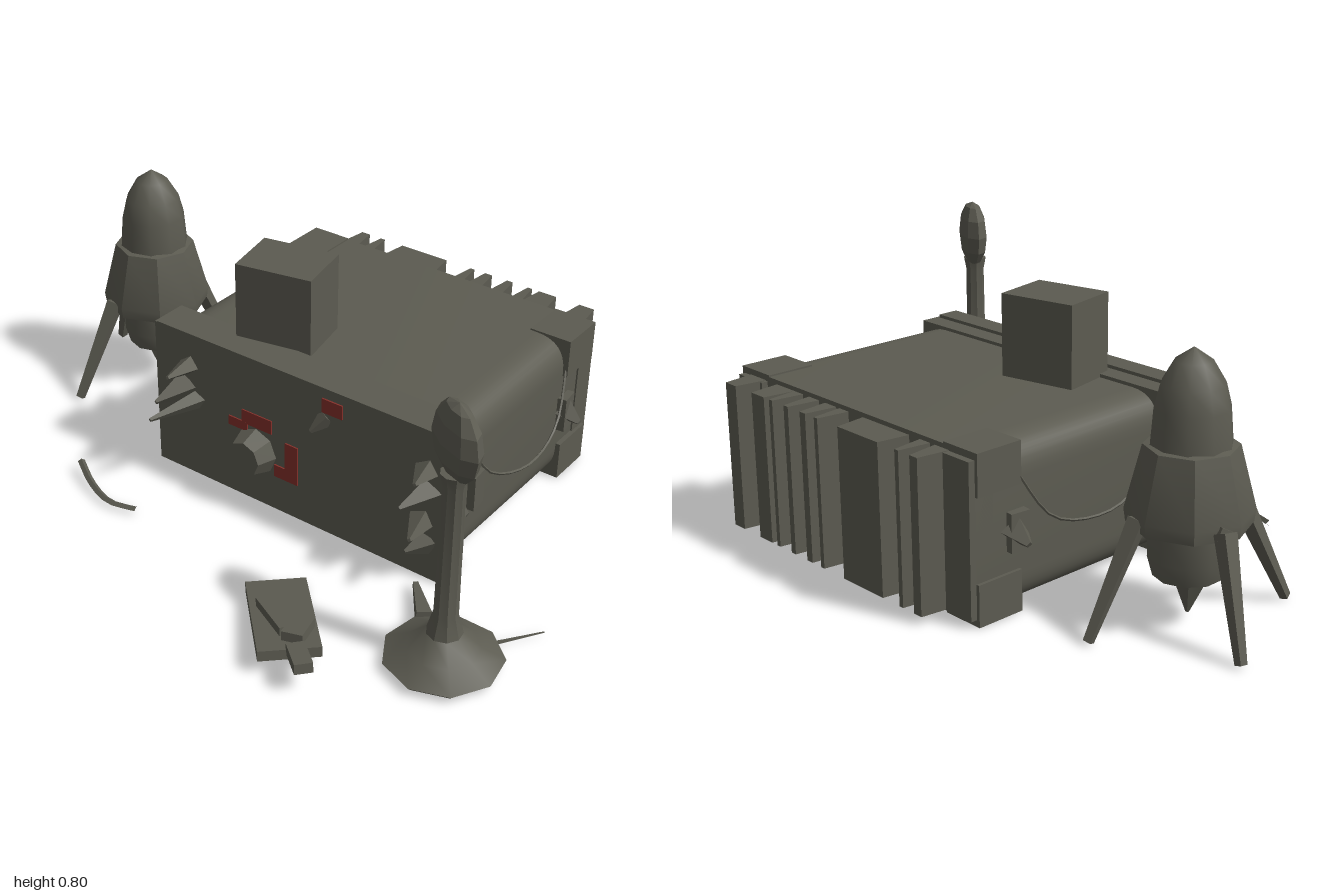
import * as THREE from 'three';
import { toCreasedNormals } from 'three/addons/utils/BufferGeometryUtils.js';

export function createModel() {
  const root = new THREE.Group();
  const grey = new THREE.MeshStandardMaterial({ color: 0x5c5b51 });
  grey.name = 'drab metal';
  const red = new THREE.MeshStandardMaterial({ color: 0x84302a });
  red.name = 'faded red';
  const V = (x, y, z) => new THREE.Vector3(x, y, z);

  function add(name, geo, x = 0, y = 0, z = 0, mat = grey, crease = 0.6) {
    const m = new THREE.Mesh(toCreasedNormals(geo, crease), mat);
    m.name = name;
    m.position.set(x, y, z);
    root.add(m);
    return m;
  }
  // Box given by its limits
  function block(name, x0, x1, y0, y1, z0, z1, mat = grey) {
    return add(name, new THREE.BoxGeometry(x1 - x0, y1 - y0, z1 - z0),
      (x0 + x1) / 2, (y0 + y1) / 2, (z0 + z1) / 2, mat);
  }
  // Tapered bar from point a to point b; r1 = 0 makes a shard
  function bar(name, a, b, r0, r1, sides = 4) {
    const d = b.clone().sub(a);
    const m = add(name, new THREE.CylinderGeometry(r1, r0, d.length(), sides));
    m.position.copy(a).addScaledVector(d, 0.5);
    m.quaternion.setFromUnitVectors(V(0, 1, 0), d.normalize());
    return m;
  }
  const lathe = (name, pts, sides, x, z, crease) =>
    add(name, new THREE.LatheGeometry(pts.map(p => new THREE.Vector2(...p)), sides), x, 0, z, grey, crease);

  // Rounded main housing
  const [x0, x1, y0, y1, r] = [-0.37, 0.64, 0.015, 0.485, 0.1];
  const s = new THREE.Shape();
  s.moveTo(x0 + r, y0);
  s.lineTo(x1 - r, y0);
  s.quadraticCurveTo(x1, y0, x1, y0 + r);
  s.lineTo(x1, y1 - r);
  s.quadraticCurveTo(x1, y1, x1 - r, y1);
  s.lineTo(x0 + r, y1);
  s.quadraticCurveTo(x0, y1, x0, y1 - r);
  s.lineTo(x0, y0 + r);
  s.quadraticCurveTo(x0, y0, x0 + r, y0);
  add('housing', new THREE.ExtrudeGeometry(s, { depth: 0.68, bevelEnabled: false, curveSegments: 8 }), 0, 0, -0.66);

  // Front panel, slightly proud of the housing
  block('frontPanel', -0.38, 0.65, 0.01, 0.495, 0.02, 0.14);
  block('panelLip', -0.36, 0.64, 0.475, 0.505, 0.08, 0.15);

  // Rear corner posts, tapering to the back
  for (const [xa, xb] of [[-0.38, -0.25], [0.52, 0.655]]) {
    for (const [ya, yb] of [[0.01, 0.13], [0.37, 0.49]]) {
      block('rearCorner', xa, xb, ya, yb, -0.66, -0.51);
    }
    block('rearPost', xa + 0.01, xb - 0.01, 0.03, 0.47, -0.68, -0.6);
  }

  // Cooling fins
  const fins = [[-0.26, -0.23], [-0.185, -0.17], [-0.1, 0.07], [0.16, 0.175],
    [0.215, 0.24], [0.295, 0.315], [0.37, 0.385], [0.41, 0.47], [0.55, 0.6]];
  for (const [a, b] of fins) {
    const g = new THREE.BoxGeometry(b - a, 0.44, 0.13);
    const p = g.attributes.position;
    for (let i = 0; i < p.count; i++) { // wider at the root
      if (p.getZ(i) > 0) p.setX(i, p.getX(i) + Math.sign(p.getX(i)) * 0.018);
    }
    g.computeVertexNormals();
    add('coolingFin', g, (a + b) / 2, 0.252, -0.69);
  }

  // Box on the roof
  block('roofBox', -0.155, 0.085, 0.47, 0.73, -0.148, 0.038).rotation.y = 0.2;

  // Side brackets and the wires slung between them
  for (const side of [-1, 1]) {
    const X = d => 0.135 + side * (0.505 + d);
    for (const z of [-0.02, -0.525]) {
      const m = add('sideBracket', new THREE.BoxGeometry(0.03, 0.11, 0.06), X(0.01), 0.245, z);
      m.rotation.y = side * 0.1;
    }
    bar('bracketTip', V(X(0), 0.25, -0.53), V(X(0.06), 0.22, -0.53), 0.045, 0.01);
    bar('bracketTip', V(X(0), 0.25, 0.08), V(X(0.05), 0.23, 0.08), 0.04, 0.01);
    const path = new THREE.CatmullRomCurve3([V(X(0), 0.39, 0), V(X(0.03), 0.28, -0.07),
      V(X(0.06), 0.23, -0.23), V(X(0.04), 0.26, -0.42), V(X(0), 0.42, -0.53)]);
    add('sideWire', new THREE.TubeGeometry(path, 16, 0.004, 4));
  }

  // Front knob
  const knob = add('knob', new THREE.CylinderGeometry(0.055, 0.078, 0.07, 8), 0, 0.19, 0.165);
  knob.rotation.x = Math.PI / 2;

  // Painted red marks
  const marks = [[-0.05, 0.06, 0.27, 0.315], [-0.1, -0.03, 0.245, 0.275],
    [0.11, 0.155, 0.13, 0.26], [0.07, 0.12, 0.13, 0.17], [0.24, 0.31, 0.42, 0.465]];
  marks.forEach(([a, b, c, d], i) => block('redMark', a, b, c, d, 0.138, 0.144 + i * 0.0003, red));

  // Broken clamps on the front
  const shards = [
    [-0.27, 0.31, -0.3, 0.29, 0.24, 0.05], [-0.25, 0.39, -0.23, 0.41, 0.26, 0.035],
    [-0.22, 0.28, -0.27, 0.27, 0.3, 0.03], [0.59, 0.37, 0.61, 0.38, 0.23, 0.04],
    [0.6, 0.3, 0.57, 0.29, 0.24, 0.045], [0.58, 0.2, 0.62, 0.22, 0.26, 0.04],
    [0.6, 0.13, 0.57, 0.12, 0.2, 0.04], [0.25, 0.4, 0.22, 0.36, 0.17, 0.03],
  ];
  for (const [ax, ay, bx, by, bz, w] of shards) bar('frontShard', V(ax, ay, 0.13), V(bx, by, bz), w, 0.006);

  // Rocket-shaped pod with flared skirt
  const px = -0.72, pz = -0.24;
  lathe('podBody', [[0, 0.14], [0.095, 0.145], [0.11, 0.2], [0.11, 0.3], [0.108, 0.5], [0.1, 0.6],
    [0.085, 0.66], [0.05, 0.72], [0, 0.755]], 10, px, pz, 0.8);
  lathe('podSkirt', [[0.1, 0.29], [0.165, 0.29], [0.17, 0.325], [0.125, 0.5], [0.1, 0.505]], 8, px, pz, 0.5);
  bar('podNozzle', V(px - 0.01, 0.17, pz), V(px, 0.035, pz), 0.06, 0.005, 5);
  const legs = [[-0.88, -0.29, -0.985, -0.34], [-0.775, -0.1, -0.815, 0.05], [-0.67, -0.38, -0.635, -0.52]];
  for (const [ax, az, bx, bz] of legs) {
    bar('podLeg', V(ax, 0.32, az), V(bx, 0.015, bz), 0.03, 0.016);
    bar('legBrace', V(px, 0.3, pz), V(ax, 0.31, az), 0.025, 0.025);
  }

  // Standing lamp
  lathe('lampStand', [[0, 0.012], [0.15, 0.015], [0.165, 0.03], [0.1, 0.065], [0.05, 0.11],
    [0.034, 0.17], [0.03, 0.57], [0.038, 0.61], [0, 0.61]], 9, 0.83, 0.4, 0.5);
  const head = add('lampHead', new THREE.SphereGeometry(0.108, 8, 6), 0.825, 0.695, 0.39, grey, 0.2);
  head.scale.z = 0.42;
  head.rotation.y = -0.53;
  bar('standSpike', V(0.9, 0.025, 0.29), V(0.99, 0.02, 0.15), 0.006, 0.002);
  bar('groundShard', V(0.71, 0.03, 0.31), V(0.61, 0.03, 0.2), 0.03, 0.01);

  // Fallen plate with wreckage on top
  const plate = new THREE.Group();
  plate.name = 'fallenPlate';
  plate.position.set(0.42, 0.045, 0.555);
  plate.rotation.set(0, -0.8, 0.12, 'YXZ');
  const parts = [[0.34, 0.03, 0.17, 0, 0, 0, 0], [0.16, 0.03, 0.07, 0.02, 0.025, 0.01, 0.3],
    [0.09, 0.035, 0.06, 0.1, 0.025, -0.03, -0.5], [0.1, 0.03, 0.05, 0.21, 0.015, -0.02, 0.1]];
  for (const [w, h, d, x, y, z, turn] of parts) {
    const m = add('platePiece', new THREE.BoxGeometry(w, h, d), x, y, z);
    m.rotation.y = turn;
    plate.add(m);
  }
  root.add(plate);

  // Loose strip on the ground
  const strip = new THREE.CatmullRomCurve3([V(-0.52, 0.06, 0.35), V(-0.43, 0.04, 0.4),
    V(-0.33, 0.03, 0.43), V(-0.24, 0.03, 0.41)]);
  const stripMesh = add('looseStrip', new THREE.TubeGeometry(strip, 8, 0.011, 4));
  stripMesh.scale.y = 0.8;

  return root;
}
